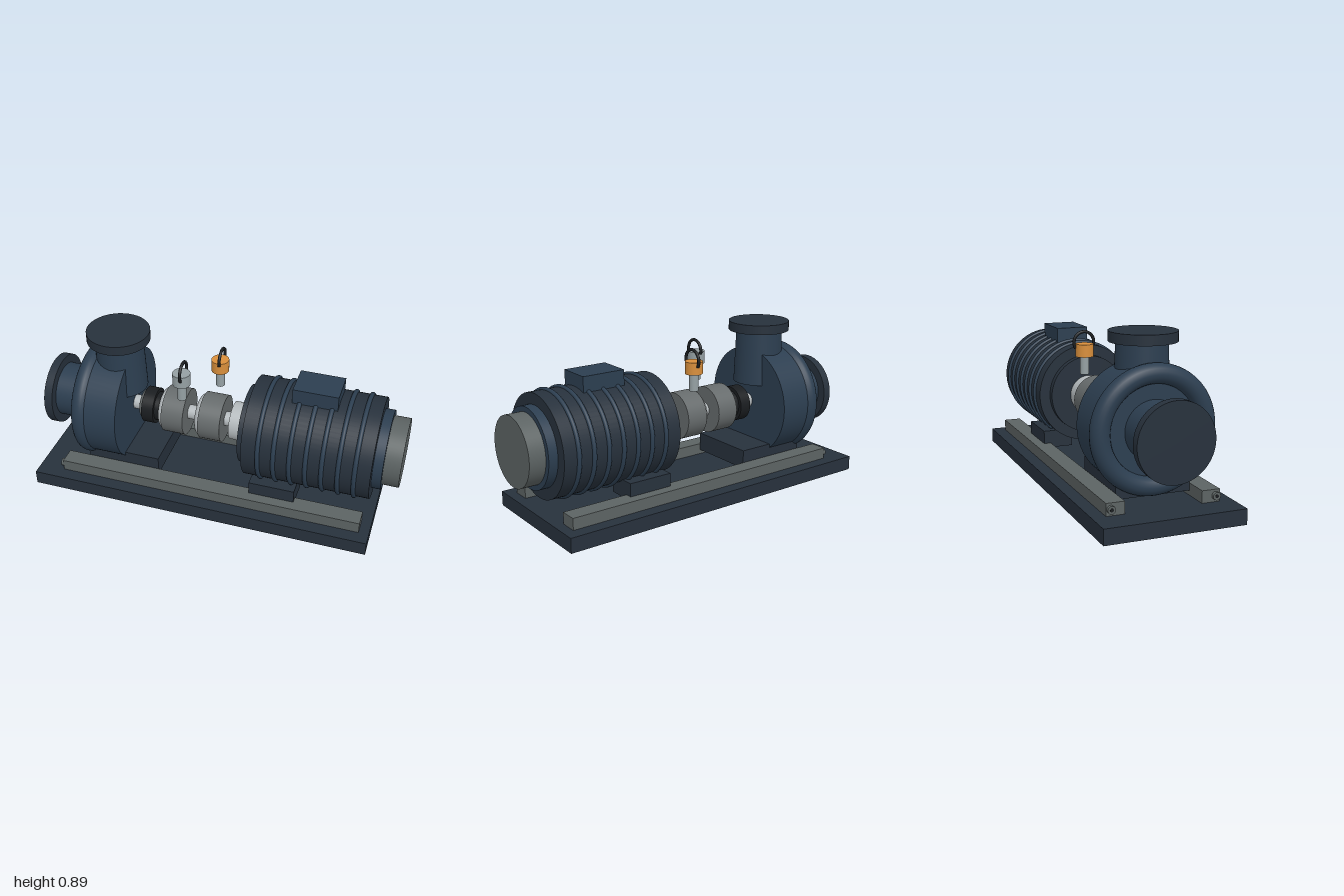
import * as THREE from 'three';

const AXIS = 0.43; // height of the common shaft line

const mat = (color) => new THREE.MeshStandardMaterial({ color });
const M = {
  blue: mat(0x2c3e50), dark: mat(0x27313c), grey: mat(0x5c6363),
  coupling: mat(0x666b6c), light: mat(0xb4babd), silver: mat(0x95a0a3),
  orange: mat(0xd98f3c), black: mat(0x1a1d20),
};

function add(parent, name, geometry, material, x = 0, y = 0, z = 0) {
  const mesh = new THREE.Mesh(geometry, material);
  mesh.name = name;
  mesh.position.set(x, y, z);
  parent.add(mesh);
  return mesh;
}

// box given by its limits on each axis
function box(parent, name, material, [x0, x1], [y0, y1], [z0, z1]) {
  return add(parent, name, new THREE.BoxGeometry(x1 - x0, y1 - y0, z1 - z0), material,
    (x0 + x1) / 2, (y0 + y1) / 2, (z0 + z1) / 2);
}

// cylinder lying along x
function drum(parent, name, material, x0, x1, r, y = AXIS, z = 0) {
  const g = new THREE.CylinderGeometry(r, r, x1 - x0, 64).rotateZ(-Math.PI / 2);
  return add(parent, name, g, material, (x0 + x1) / 2, y, z);
}

// upright cylinder
function post(parent, name, material, x, z, y0, y1, r, rBottom = r) {
  return add(parent, name, new THREE.CylinderGeometry(r, rBottom, y1 - y0, 48), material, x, (y0 + y1) / 2, z);
}

// torus around the shaft line
function ring(parent, name, material, x, R, r) {
  return add(parent, name, new THREE.TorusGeometry(R, r, 20, 72).rotateY(Math.PI / 2), material, x, AXIS);
}

function group(parent, name) {
  const g = new THREE.Group();
  g.name = name;
  parent.add(g);
  return g;
}

export function createModel() {
  const model = new THREE.Group();
  model.name = 'pumpSet';

  // base plate with two rails and their end bolts
  const base = group(model, 'base');
  box(base, 'basePlate', M.dark, [-1, 0.895], [0, 0.08], [-0.365, 0.365]);
  for (const s of [-1, 1]) {
    add(base, 'rail', new THREE.BoxGeometry(1.695, 0.063, 0.095), M.grey, -0.0075, 0.1115, s * 0.2475);
    drum(base, 'railBolt', M.grey, -0.872, -0.85, 0.02, 0.112, s * 0.272);
    drum(base, 'railBoltBore', M.black, -0.873, -0.86, 0.009, 0.112, s * 0.272);
  }

  // pump casing, suction inlet and discharge outlet
  const pump = group(model, 'pump');
  ring(pump, 'voluteRim', M.blue, -0.725, 0.275, 0.05);
  drum(pump, 'casing', M.blue, -0.73, -0.51, 0.31);
  drum(pump, 'suctionPipe', M.blue, -0.94, -0.72, 0.15);
  drum(pump, 'suctionFlange', M.dark, -0.98, -0.933, 0.198);
  post(pump, 'dischargePipe', M.blue, -0.582, 0, 0.54, 0.85, 0.128, 0.14);
  post(pump, 'dischargeFlange', M.dark, -0.584, 0.005, 0.838, 0.89, 0.171);
  box(pump, 'pumpFoot', M.dark, [-0.73, -0.315], [0.107, 0.212], [-0.197, 0.197]);

  // shaft, seal and the two coupling halves
  const drive = group(model, 'drive');
  drum(drive, 'shaft', M.light, -0.52, 0.15, 0.04);
  ring(drive, 'sealRing', M.coupling, -0.438, 0.06, 0.028);
  drum(drive, 'seal', M.black, -0.442, -0.375, 0.1);
  drum(drive, 'sealNeck', M.black, -0.375, -0.335, 0.08);
  for (const x of [-0.338, -0.128]) {
    drum(drive, 'coupling', M.coupling, x + 0.022, x + 0.146, 0.13);
    ring(drive, 'couplingRim', M.light, x + 0.028, 0.086, 0.035);
  }
  drum(drive, 'motorCollar', M.light, 0.062, 0.15, 0.105);

  // motor body with cooling ribs
  const motor = group(model, 'motor');
  drum(motor, 'frontCover', M.dark, 0.143, 0.19, 0.215);
  drum(motor, 'motorBody', M.dark, 0.18, 0.862, 0.273);
  for (let i = 0; i < 7; i++) ring(motor, 'coolingRib', M.blue, 0.27 + i * 0.085, 0.273, 0.012);
  drum(motor, 'rearCover', M.blue, 0.86, 0.912, 0.213);
  drum(motor, 'fanCover', M.grey, 0.91, 1, 0.185);
  box(motor, 'terminalBox', M.blue, [0.4, 0.64], [0.67, 0.77], [-0.091, 0.091]);
  for (const s of [-1, 1]) {
    add(motor, 'motorFoot', new THREE.BoxGeometry(0.25, 0.097, 0.167), M.dark, 0.345, 0.1665, s * 0.155);
  }

  // two sensors above the couplings, each with a looped cable hanging outward
  for (const [name, material, x, s] of [['greySensor', M.silver, -0.2, 1], ['orangeSensor', M.orange, -0.043, -1]]) {
    const sensor = group(model, name);
    const z = s * 0.092;
    post(sensor, 'sensorStem', M.silver, x, z, 0.585, 0.69, 0.025);
    post(sensor, 'sensorHead', material, x, z, 0.68, 0.748, 0.048);
    const loop = [];
    for (let i = 0; i <= 12; i++) {
      const a = (-15 + i * 19) * Math.PI / 180;
      loop.push(new THREE.Vector3(x + 0.01, 0.755 + 0.056 * Math.sin(a), z - s * 0.056 * Math.cos(a)));
    }
    add(sensor, 'sensorCable', new THREE.TubeGeometry(new THREE.CatmullRomCurve3(loop), 40, 0.0085, 10), M.black);
  }

  return model;
}
